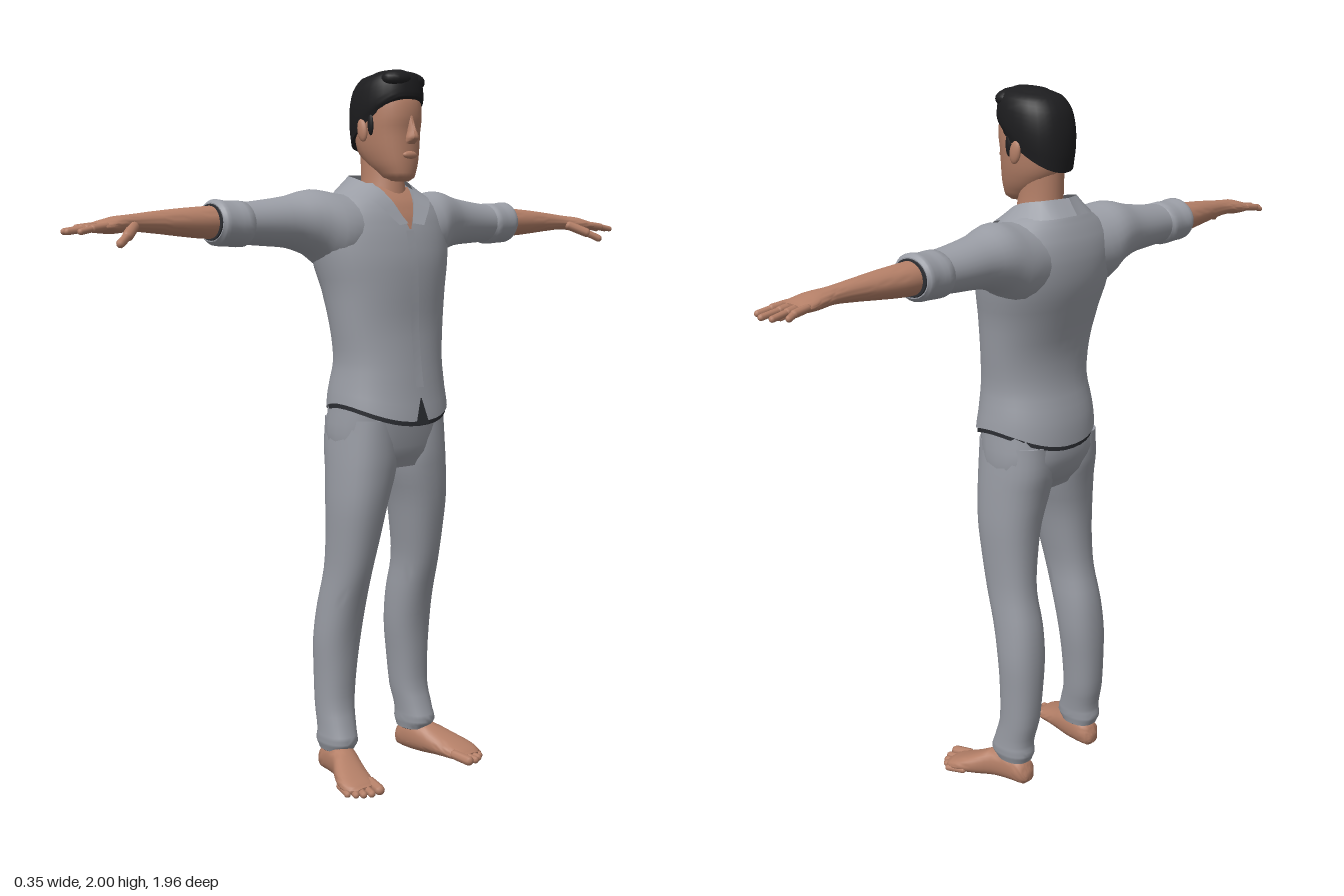
import * as THREE from 'three';
import { toCreasedNormals } from 'three/addons/utils/BufferGeometryUtils.js';

const material = (name, color) => {
  const m = new THREE.MeshStandardMaterial({ color, side: THREE.DoubleSide });
  m.name = name;
  return m;
};

// Adds in-between sections along a smooth curve
function refine(secs, sub) {
  const full = secs.map(s => [...s, 0, 0].slice(0, 7)), out = [];
  const at = i => full[Math.min(Math.max(i, 0), full.length - 1)];
  for (let i = 0; i < full.length - 1; i++)
    for (let k = 0; k < sub; k++) {
      const t = k / sub;
      out.push(at(i).map((b, j) => {
        const a = at(i - 1)[j], c = at(i + 1)[j], d = at(i + 2)[j];
        return j === 0 ? b + (c - b) * t : b + 0.5 * t * (c - a + t * (2 * a - 5 * b + 4 * c - d + t * (3 * (b - c) + d - a)));
      }));
    }
  out.push(at(full.length - 1));
  return out;
}

// Closed skin over sections [t, u0, u1, v0, v1, tilt, bend] placed along an axis
function loft(secs, { axis = 'y', s = 1, n = 2, sides = 28, sub = 3 } = {}) {
  const rows = refine(secs, sub), pos = [], idx = [];
  const pow = v => Math.sign(v) * Math.abs(v) ** (2 / n);
  const put = (t, u, v) => {
    const p = axis === 'y' ? [u, t, v] : axis === 'z' ? [v, u, t] : [t, u, v];
    pos.push(p[0], p[1], p[2] * s);
  };
  for (const [t, u0, u1, v0, v1, tilt, bend] of rows)
    for (let i = 0; i < sides; i++) {
      const a = i / sides * Math.PI * 2, c = pow(Math.cos(a));
      put(t + tilt * c + bend * c * c, (u0 + u1) / 2 + (u1 - u0) / 2 * c, (v0 + v1) / 2 + (v1 - v0) / 2 * pow(Math.sin(a)));
    }
  const last = rows.length - 1, c0 = rows.length * sides;
  for (const r of [rows[0], rows[last]]) put(r[0] + r[6] / 2, (r[1] + r[2]) / 2, (r[3] + r[4]) / 2);
  for (let i = 0; i < sides; i++) {
    const j = (i + 1) % sides;
    for (let r = 0; r < last; r++) {
      const a = r * sides;
      idx.push(a + i, a + sides + i, a + j, a + j, a + sides + i, a + sides + j);
    }
    idx.push(c0, i, j, c0 + 1, last * sides + j, last * sides + i);
  }
  // Turn the faces outward
  const P = i => new THREE.Vector3().fromArray(pos, i * 3);
  let vol = 0;
  for (let i = 0; i < idx.length; i += 3) vol += P(idx[i]).dot(P(idx[i + 1]).cross(P(idx[i + 2])));
  if (vol < 0) idx.reverse();
  const g = new THREE.BufferGeometry();
  g.setAttribute('position', new THREE.Float32BufferAttribute(pos, 3));
  g.setIndex(idx);
  return toCreasedNormals(g, 0.9);
}

// Open sheet through rows of points
function sheet(rows) {
  const w = rows[0].length, idx = [];
  for (let r = 0; r < rows.length - 1; r++)
    for (let i = 0; i < w - 1; i++) {
      const a = r * w + i;
      idx.push(a, a + 1, a + w, a + 1, a + w + 1, a + w);
    }
  const g = new THREE.BufferGeometry();
  g.setAttribute('position', new THREE.Float32BufferAttribute(rows.flat(2), 3));
  g.setIndex(idx);
  g.computeVertexNormals();
  return g;
}

const TORSO = [
  [1.085, -0.155, 0.14, -0.18, 0.18, 0, -0.05], [1.13, -0.148, 0.13, -0.175, 0.175, 0, -0.025],
  [1.2, -0.125, 0.118, -0.168, 0.168], [1.3, -0.125, 0.108, -0.18, 0.18], [1.4, -0.15, 0.108, -0.195, 0.195],
  [1.48, -0.172, 0.104, -0.215, 0.215], [1.55, -0.176, 0.09, -0.225, 0.225], [1.6, -0.168, 0.074, -0.215, 0.215],
  [1.64, -0.153, 0.055, -0.175, 0.175], [1.67, -0.138, 0.03, -0.125, 0.125], [1.69, -0.125, 0.01, -0.085, 0.085]];
const TORSO_N = 2.2;

// Front of the chest at a given height and side offset
function chest(y, z, lift) {
  const i = Math.max(1, TORSO.findIndex(r => r[0] >= y)), a = TORSO[i - 1], b = TORSO[i];
  const m = a.map((v, j) => v + ((b[j] ?? 0) - v) * (y - a[0]) / (b[0] - a[0]));
  const k = (1 - Math.min(1, Math.abs(z / m[4])) ** TORSO_N) ** (1 / TORSO_N);
  return [(m[1] + m[2]) / 2 + (m[2] - m[1]) / 2 * k + lift, y, z];
}

export function createModel() {
  const model = new THREE.Group();
  const skin = material('skin', 0xb58068), shirt = material('shirt grey', 0x9a9da5);
  const trousers = material('trouser grey', 0x979aa2), hair = material('hair black', 0x1d1d1f), dark = material('dark lining', 0x2c2e33);
  const add = (name, geo, mat) => {
    const m = new THREE.Mesh(geo, mat);
    m.name = name;
    model.add(m);
    return m;
  };
  const ball = (name, mat, p, r) => {
    const m = add(name, new THREE.SphereGeometry(1, 16, 12), mat);
    m.position.set(...p);
    m.scale.set(...r);
    return m;
  };
  // Rounded segments joined through points
  const digit = (name, pts, r, s) => {
    for (let i = 0; i < pts.length - 1; i++) {
      const [a, b] = [pts[i], pts[i + 1]].map(p => new THREE.Vector3(p[0], p[1], p[2] * s));
      const d = b.clone().sub(a), m = add(name, new THREE.CapsuleGeometry(r * (1 - 0.2 * i), d.length(), 4, 8), skin);
      m.position.copy(a).lerp(b, 0.5);
      m.quaternion.setFromUnitVectors(new THREE.Vector3(0, 1, 0), d.normalize());
    }
  };

  // Shirt body, its dark hem and the opening at the bottom of the front
  add('shirtBody', loft(TORSO, { n: TORSO_N, sides: 40 }), shirt);
  add('hemLining', loft([[1.072, -0.15, 0.135, -0.176, 0.176, 0, -0.05], [1.09, -0.15, 0.135, -0.176, 0.176, 0, -0.05]], { n: TORSO_N, sides: 40, sub: 1 }), dark);
  add('hemOpening', sheet([[[0.146, 1.028, -0.024], [0.146, 1.028, 0.024]], [[0.138, 1.1, -0.002], [0.138, 1.1, 0.002]]]), dark);
  const strip = [], vee = [];
  for (let i = 0; i <= 10; i++) {
    strip.push([-0.014, 0.014].map(z => chest(1.13 + i * 0.043, z, 0.004)));
    vee.push([-1, -0.5, 0, 0.5, 1].map(k => chest(1.565 + i * 0.0115, k * (0.003 + i * 0.0052), 0.007)));
  }
  add('placket', sheet(strip), shirt);
  add('openNeck', sheet(vee), skin);

  // Hips, neck and head
  add('hips', loft([[0.9, -0.1, 0.075, -0.13, 0.13], [0.94, -0.125, 0.092, -0.17, 0.17], [1.0, -0.142, 0.102, -0.179, 0.179], [1.08, -0.135, 0.11, -0.172, 0.172]], { n: 2.5 }), trousers);
  add('neck', loft([[1.6, -0.1, 0.05, -0.075, 0.075], [1.68, -0.092, 0.042, -0.06, 0.06], [1.73, -0.092, 0.035, -0.056, 0.056], [1.8, -0.095, 0.03, -0.056, 0.056]]), skin);
  add('head', loft([
    [1.695, 0.025, 0.075, -0.022, 0.022], [1.705, -0.01, 0.088, -0.04, 0.04], [1.74, -0.06, 0.092, -0.06, 0.06],
    [1.78, -0.095, 0.092, -0.073, 0.073], [1.83, -0.105, 0.092, -0.08, 0.08], [1.87, -0.108, 0.097, -0.082, 0.082],
    [1.92, -0.105, 0.09, -0.08, 0.08], [1.96, -0.08, 0.06, -0.06, 0.06], [1.98, -0.04, 0.02, -0.02, 0.02]], { n: 2.25 }), skin);
  add('nose', loft([[1.795, 0.075, 0.1, -0.015, 0.015], [1.808, 0.07, 0.119, -0.017, 0.017], [1.83, 0.07, 0.113, -0.011, 0.011], [1.87, 0.07, 0.098, -0.008, 0.008]], { sides: 12 }), skin);
  ball('lips', skin, [0.089, 1.765, 0], [0.01, 0.011, 0.025]);

  // Hair cap, lower at the nape than at the brow, with a raised quiff
  add('hair', loft([
    [1.845, -0.115, 0.088, -0.085, 0.085, 0.065], [1.875, -0.121, 0.099, -0.09, 0.09, 0.045], [1.91, -0.12, 0.1, -0.091, 0.091, 0.025],
    [1.95, -0.108, 0.096, -0.085, 0.085, 0.014], [1.978, -0.083, 0.087, -0.068, 0.068, 0.008], [1.993, -0.04, 0.05, -0.03, 0.03, 0.003]], { n: 2.2 }), hair);
  ball('quiff', hair, [0.062, 1.968, 0.022], [0.036, 0.026, 0.05]);
  ball('quiff', hair, [0.055, 1.963, -0.03], [0.036, 0.026, 0.045]);

  for (const s of [1, -1]) {
    // Ears, sideburns and collar
    ball('ear', skin, [-0.012, 1.833, 0.085 * s], [0.018, 0.032, 0.01]).rotation.z = 0.2;
    ball('sideburn', hair, [0.016, 1.85, 0.078 * s], [0.011, 0.032, 0.008]);
    const inner = [[-0.125, 1.715, 0], [-0.095, 1.712, 0.068], [-0.03, 1.7, 0.086], [0.035, 1.668, 0.06], [0.093, 1.58, 0.008]];
    const outer = [[-0.155, 1.672, 0], [-0.13, 1.668, 0.09], [-0.025, 1.662, 0.138], [0.055, 1.64, 0.105], [0.099, 1.575, 0.045]];
    add('collar', sheet([inner, outer].map(row => new THREE.CatmullRomCurve3(row.map(p => new THREE.Vector3(p[0], p[1], p[2] * s)))
      .getPoints(14).map(p => p.toArray()))), shirt);

    // Sleeve and rolled cuff
    add('sleeve', loft([
      [0.08, 1.45, 1.655, -0.16, 0.06], [0.17, 1.45, 1.664, -0.168, 0.06], [0.23, 1.49, 1.672, -0.162, 0.03], [0.3, 1.513, 1.655, -0.15, 0.004],
      [0.38, 1.52, 1.643, -0.145, -0.008], [0.46, 1.525, 1.635, -0.14, -0.014], [0.52, 1.53, 1.635, -0.14, -0.02]], { axis: 'z', s }), shirt);
    add('rolledCuff', loft([[0.435, 1.53, 1.63, -0.136, -0.02], [0.45, 1.518, 1.639, -0.146, -0.009], [0.5, 1.52, 1.639, -0.147, -0.012], [0.53, 1.522, 1.643, -0.151, -0.013], [0.541, 1.532, 1.634, -0.144, -0.022]], { axis: 'z', s }), shirt);
    add('cuffLining', loft([[0.538, 1.534, 1.632, -0.142, -0.024], [0.544, 1.536, 1.63, -0.14, -0.026]], { axis: 'z', s, sub: 1 }), dark);

    // Forearm, hand, fingers and thumb
    add('forearm', loft([
      [0.5, 1.54, 1.628, -0.13, -0.036], [0.57, 1.541, 1.624, -0.128, -0.036], [0.65, 1.548, 1.618, -0.117, -0.04], [0.73, 1.556, 1.61, -0.105, -0.046],
      [0.79, 1.56, 1.603, -0.102, -0.043], [0.84, 1.555, 1.598, -0.108, -0.024], [0.88, 1.556, 1.588, -0.11, -0.018], [0.9, 1.56, 1.582, -0.106, -0.022]], { axis: 'z', s }), skin);
    [[-0.1, -0.108, 0.945], [-0.077, -0.083, 0.972], [-0.053, -0.052, 0.979], [-0.03, -0.018, 0.962]].forEach(([x0, x1, z]) =>
      digit('finger', [[x0, 1.573, 0.88], [(x0 + x1) / 2, 1.568, 0.92], [x1, 1.561, z - 0.005]], 0.0105, s));
    digit('thumb', [[-0.045, 1.572, 0.795], [-0.008, 1.55, 0.835], [0.014, 1.532, 0.868]], 0.014, s);

    // Trouser leg with a turned-up bottom
    add('trouserLeg', loft([
      [0.075, -0.112, -0.005, 0.105, 0.192], [0.1, -0.122, 0.012, 0.1, 0.2], [0.13, -0.118, 0.004, 0.099, 0.198], [0.2, -0.132, -0.016, 0.09, 0.196],
      [0.3, -0.138, -0.016, 0.08, 0.197], [0.4, -0.138, -0.008, 0.068, 0.2], [0.5, -0.128, 0.014, 0.065, 0.194], [0.6, -0.106, 0.044, 0.067, 0.187],
      [0.7, -0.1, 0.066, 0.052, 0.188], [0.8, -0.104, 0.084, 0.033, 0.19], [0.9, -0.118, 0.094, 0.004, 0.185], [0.96, -0.13, 0.096, 0.0, 0.18], [1.04, -0.13, 0.095, 0.01, 0.172]], { s, n: 2.3 }), trousers);
    add('trouserLining', loft([[0.072, -0.108, -0.01, 0.109, 0.188], [0.078, -0.108, -0.01, 0.109, 0.188]], { s, sub: 1 }), dark);

    // Ankle, foot and toes
    add('ankle', loft([[0.03, -0.105, 0.0, 0.115, 0.185], [0.08, -0.1, -0.012, 0.12, 0.18], [0.14, -0.1, -0.02, 0.12, 0.18]], { s }), skin);
    add('foot', loft([
      [-0.117, 0.012, 0.045, 0.13, 0.165], [-0.105, 0.002, 0.07, 0.117, 0.18], [-0.06, 0, 0.095, 0.113, 0.19], [-0.01, 0, 0.092, 0.118, 0.205],
      [0.04, 0, 0.068, 0.132, 0.235], [0.09, 0, 0.046, 0.145, 0.255], [0.125, 0.003, 0.032, 0.155, 0.25], [0.138, 0.008, 0.024, 0.165, 0.235]], { axis: 'x', s, n: 2.3 }), skin);
    [[0.164, 0.172, 0.16, 0.015], [0.19, 0.2, 0.16, 0.011], [0.209, 0.221, 0.15, 0.0105], [0.226, 0.238, 0.137, 0.01], [0.24, 0.252, 0.117, 0.0095]].forEach(([z0, z1, x, r]) =>
      digit('toe', [[x - 0.05, r + 0.006, z0], [x, r, z1]], r, s));
  }
  return model;
}
